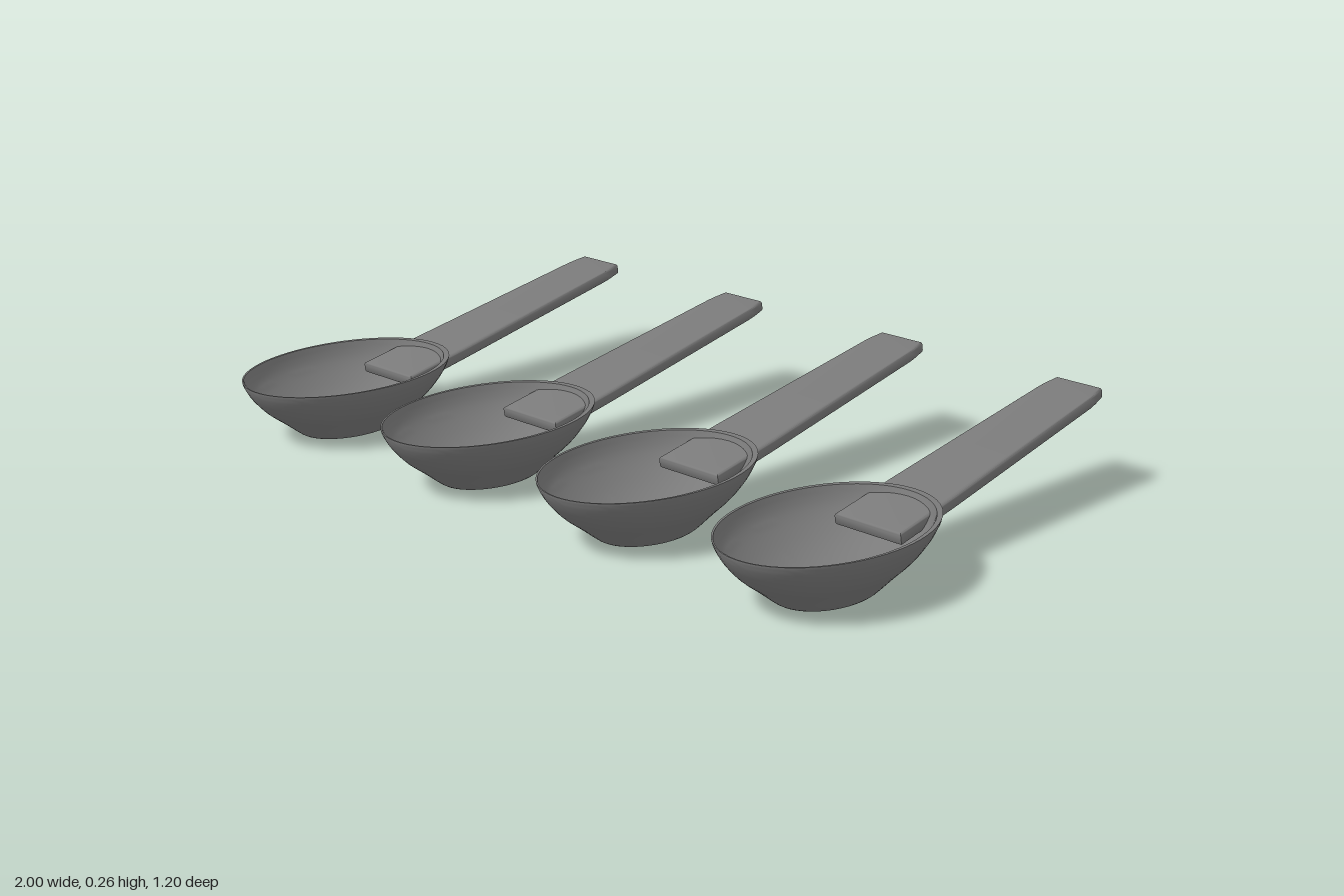
import * as THREE from 'three';
import { toCreasedNormals } from 'three/addons/utils/BufferGeometryUtils.js';

const material = new THREE.MeshStandardMaterial({ color: 0x7a7a7a });

// Smooth curve through a few [radius, height] points
function curve(points, steps) {
  return new THREE.SplineCurve(points.map(([r, y]) => new THREE.Vector2(r, y))).getPoints(steps);
}

// Oval bowl with a flat base: a unit-radius lathe stretched to an ellipse
function bowlGeometry() {
  const outer = curve([[0.44, 0], [0.49, 0.006], [0.65, 0.042], [0.8, 0.075], [0.92, 0.112], [0.985, 0.142], [1, 0.155]], 18);
  const inner = curve([[0.965, 0.155], [0.935, 0.135], [0.88, 0.112], [0.77, 0.085], [0.6, 0.055], [0.4, 0.032], [0.2, 0.021], [0, 0.018]], 20);
  const profile = [new THREE.Vector2(0, 0), ...outer, ...inner];
  const geometry = new THREE.LatheGeometry(profile, 64);
  geometry.scale(0.205, 1, 0.292);

  // Shift the hollow forwards so the wall is thickest where the handle joins
  const position = geometry.attributes.position;
  for (let i = 0; i < position.count; i++) {
    if (i % profile.length > outer.length) position.setZ(i, position.getZ(i) + 0.007);
  }
  return toCreasedNormals(geometry, 0.7);
}

// Flat tapered bar with rounded edges and clipped far corners, tilted upwards
function handleGeometry() {
  const bevel = 0.007, length = 0.79, thickness = 0.03;
  const half = [[0.092, 0], [0.089, 0.2], [0.073, 0.73], [0.07, 0.755], [0.063, length]];
  const outline = [...half, ...half.slice().reverse().map(([x, y]) => [-x, y])];
  const shape = new THREE.Shape(outline.map(([x, y]) => new THREE.Vector2(x, y)));
  const geometry = new THREE.ExtrudeGeometry(shape, {
    depth: thickness - 2 * bevel,
    bevelThickness: bevel,
    bevelSize: bevel,
    bevelOffset: -bevel,
    bevelSegments: 4,
  });
  geometry.translate(0, 0, bevel);
  geometry.rotateX(-Math.PI / 2 + THREE.MathUtils.degToRad(10.3));
  return toCreasedNormals(geometry, 0.6);
}

export function createModel() {
  const model = new THREE.Group();
  model.name = 'spoonSet';
  const bowlShape = bowlGeometry();
  const handleShape = handleGeometry();

  // Four identical spoons in a row
  for (let i = 0; i < 4; i++) {
    const spoon = new THREE.Group();
    spoon.name = `spoon${i + 1}`;
    spoon.position.x = (i - 1.5) * 0.53;

    const bowl = new THREE.Mesh(bowlShape, material);
    bowl.name = 'bowl';
    bowl.position.z = 0.31;

    // The handle passes through the bowl wall and ends as a tongue inside
    const handle = new THREE.Mesh(handleShape, material);
    handle.name = 'handle';
    handle.position.set(0, 0.088, 0.175);

    spoon.add(bowl, handle);
    model.add(spoon);
  }
  return model;
}
